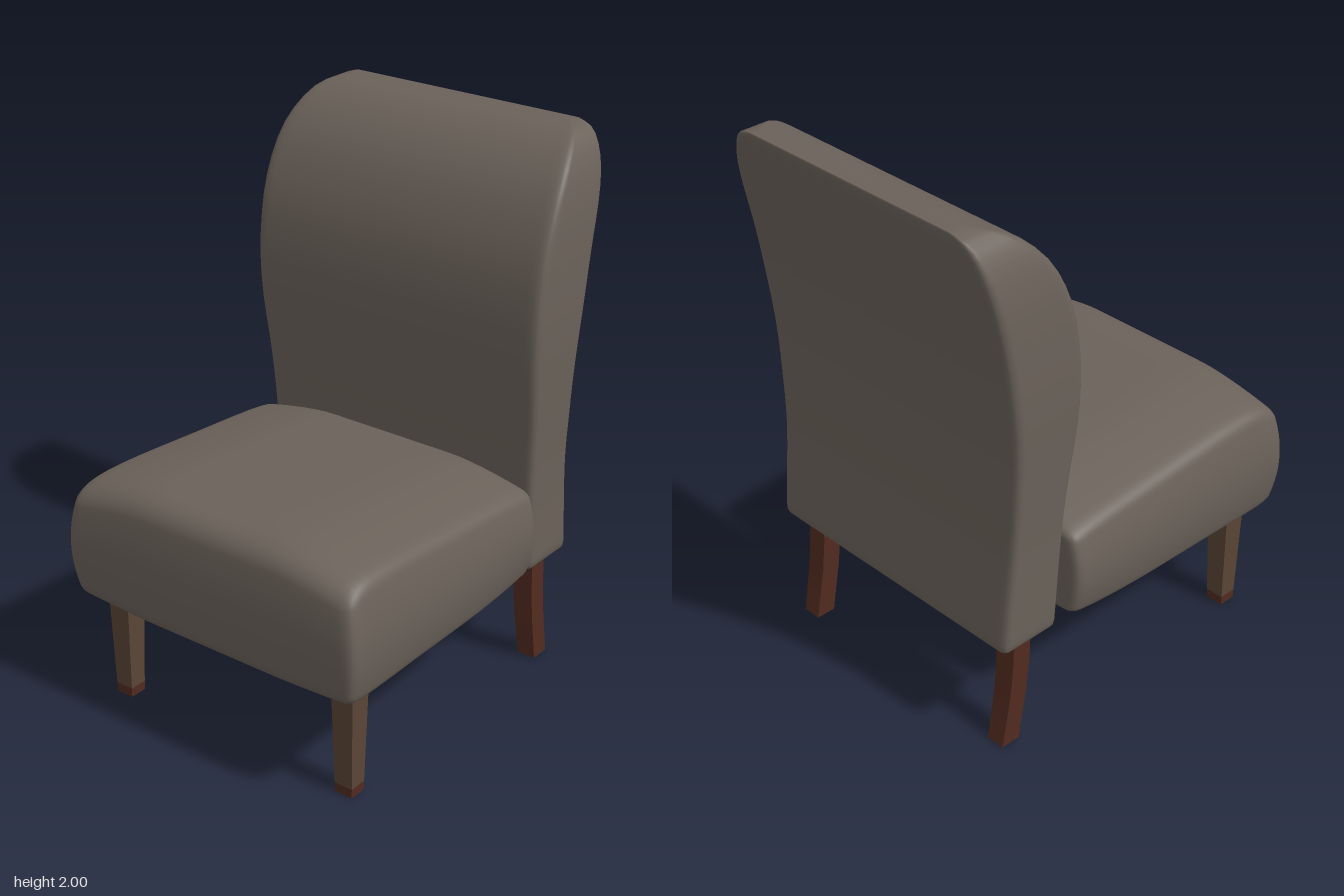
import * as THREE from 'three';
import { mergeVertices, toCreasedNormals } from 'three/addons/utils/BufferGeometryUtils.js';

const material = (name, color) => {
  const m = new THREE.MeshStandardMaterial({ color });
  m.name = name;
  return m;
};

// Smooth function through [input, output] points, inputs ascending
function profile(points) {
  const pts = new THREE.SplineCurve(points.map(p => new THREE.Vector2(...p))).getPoints(160);
  return (t) => {
    let i = 1;
    while (i < pts.length - 1 && pts[i].x < t) i++;
    const a = pts[i - 1], b = pts[i];
    const k = THREE.MathUtils.clamp((t - a.x) / (b.x - a.x || 1), 0, 1);
    return a.y + (b.y - a.y) * k;
  };
}

// Move every vertex of a geometry by a rule
function reshape(geometry, rule) {
  const pos = geometry.attributes.position;
  const v = new THREE.Vector3();
  for (let i = 0; i < pos.count; i++) {
    rule(v.fromBufferAttribute(pos, i));
    pos.setXYZ(i, v.x, v.y, v.z);
  }
  return geometry;
}

// Finely divided box with rounded edges, shaped by a rule on -1..1 coordinates
function cushion(w, h, d, r, rule) {
  const n = 30;
  const half = new THREE.Vector3(w / 2, h / 2, d / 2);
  const inner = half.clone().subScalar(r);
  const core = new THREE.Vector3();
  let g = new THREE.BoxGeometry(2, 2, 2, n, n, n);
  g.deleteAttribute('uv');
  g.deleteAttribute('normal');
  reshape(g, (v) => {
    // crowd the grid towards the edges
    v.set(Math.sin(v.x * Math.PI / 2), Math.sin(v.y * Math.PI / 2), Math.sin(v.z * Math.PI / 2)).multiply(half);
    core.copy(v).clamp(inner.clone().negate(), inner);
    v.sub(core);
    if (v.length() > 0) v.setLength(r);
    v.add(core).divide(half);
    rule(v);
  });
  g = mergeVertices(g, 1e-5);
  g.computeVertexNormals();
  return g;
}

// Square leg along a [y, z, width, depth] path, listed from the floor up
function leg(path) {
  const n = path.length - 1;
  const g = reshape(new THREE.BoxGeometry(1, 1, 1, 1, n, 1), (v) => {
    const [y, z, w, d] = path[Math.round((v.y + 0.5) * n)];
    v.set(v.x * w, y, z + v.z * d);
  });
  return toCreasedNormals(g, 0.6);
}

export function createModel() {
  const model = new THREE.Group();
  model.name = 'chair';
  const fabric = material('taupe fabric', 0x6b625a);
  const wood = material('brown wood', 0x5a4636);
  const redWood = material('red-brown wood', 0x522c20);

  const add = (name, geometry, mat, x = 0) => {
    const mesh = new THREE.Mesh(geometry, mat);
    mesh.name = name;
    mesh.position.x = x;
    model.add(mesh);
  };

  // Seat: crowned top sloping to the back, bulging sides
  const seatTop = profile([[-0.34, 0.835], [-0.2, 0.857], [0.1, 0.88], [0.4, 0.902], [0.57, 0.905], [0.65, 0.89], [0.72, 0.845]]);
  const seatBottom = profile([[-0.34, 0.45], [-0.2, 0.428], [0, 0.412], [0.3, 0.405], [0.62, 0.4], [0.72, 0.425]]);
  add('seat', cushion(1.24, 0.48, 1.04, 0.04, (v) => {
    const bulge = 1 - v.y * v.y;
    const edge = Math.max(0, (Math.abs(v.x) - 0.45) / 0.55) ** 1.5;
    const z = 0.185 + v.z * 0.515;
    const top = seatTop(z) - 0.055 * edge;
    const bottom = seatBottom(z) + 0.015 * edge;
    v.set(
      v.x * (0.592 + 0.032 * bulge),
      THREE.MathUtils.lerp(bottom, top, (v.y + 1) / 2),
      z + 0.02 * bulge * Math.max(0, v.z)
    );
  }), fabric);

  // Backrest: rolled top, lumbar curve and rounded upper corners
  const backFront = profile([[0.43, -0.37], [0.8, -0.347], [1, -0.332], [1.2, -0.306], [1.35, -0.297], [1.5, -0.305], [1.65, -0.332], [1.8, -0.395], [1.9, -0.47], [1.97, -0.56], [2, -0.65]]);
  const backRear = profile([[0.43, -0.613], [0.6, -0.598], [0.8, -0.58], [1, -0.576], [1.2, -0.58], [1.4, -0.602], [1.6, -0.635], [1.85, -0.692], [2, -0.723]]);
  const backWidth = profile([[0.43, 0.57], [0.8, 0.577], [1, 0.588], [1.35, 0.607], [1.65, 0.608], [1.8, 0.6], [1.9, 0.578], [1.97, 0.538], [2, 0.49]]);
  add('backrest', cushion(1.2, 1.57, 0.3, 0.035, (v) => {
    const y = 1.215 + v.y * 0.785;
    v.set(v.x * backWidth(y), y, THREE.MathUtils.lerp(backRear(y), backFront(y), (v.z + 1) / 2));
  }), fabric);

  // Legs: tapered in front with dark feet, swept at the back
  for (const side of [-1, 1]) {
    const label = side > 0 ? 'left' : 'right';
    add(label + 'FrontLeg', leg([[0.035, 0.568, 0.071, 0.067], [0.46, 0.568, 0.092, 0.088]]), wood, side * 0.495);
    add(label + 'FrontFoot', leg([[0, 0.568, 0.069, 0.065], [0.035, 0.568, 0.071, 0.067]]), redWood, side * 0.495);
    add(label + 'BackLeg', leg([
      [0, -0.542, 0.072, 0.076], [0.1, -0.525, 0.074, 0.075], [0.2, -0.508, 0.077, 0.074],
      [0.32, -0.496, 0.08, 0.075], [0.47, -0.49, 0.084, 0.076],
    ]), redWood, side * 0.487);
  }

  // Slight turn of the whole chair
  model.rotation.y = -0.021;
  return model;
}
